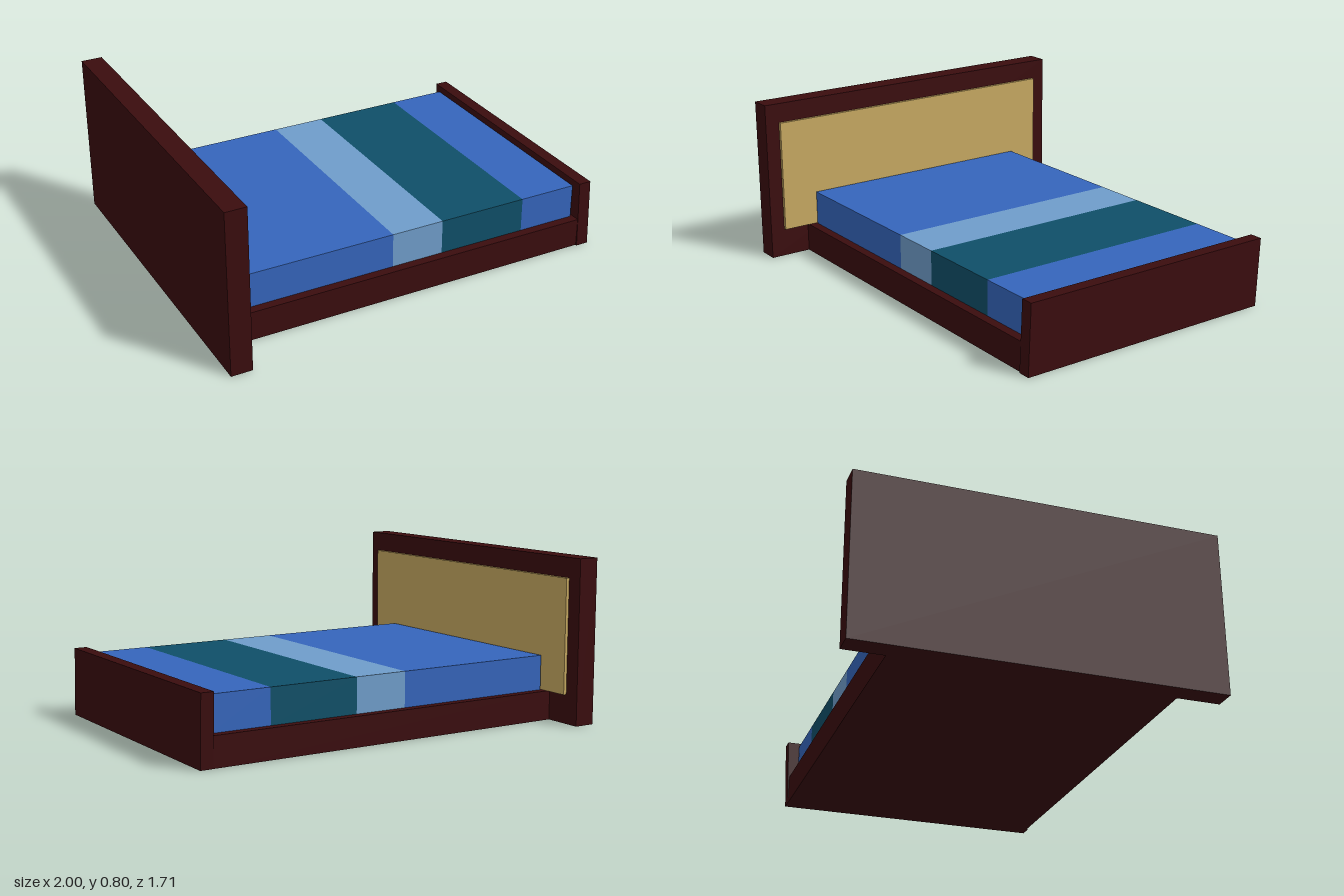
import * as THREE from 'three';

export function createModel() {
  const bed = new THREE.Group();
  bed.name = 'bed';

  const material = (name, color) => {
    const m = new THREE.MeshStandardMaterial({ color });
    m.name = name;
    return m;
  };
  const wood = material('darkWood', 0x3a0c0e);
  const tan = material('tanPanel', 0xc6a861);
  const blue = material('blue', 0x3565bb);
  const paleBlue = material('paleBlue', 0x6f9dca);
  const teal = material('teal', 0x0f4f68);

  // Box given by its lower and upper limits on each axis
  const box = (name, mat, [x0, x1], [y0, y1], [z0, z1], parent = bed) => {
    const mesh = new THREE.Mesh(new THREE.BoxGeometry(x1 - x0, y1 - y0, z1 - z0), mat);
    mesh.position.set((x0 + x1) / 2, (y0 + y1) / 2, (z0 + z1) / 2);
    mesh.name = name;
    parent.add(mesh);
    return mesh;
  };

  // Headboard with its raised panel
  box('headboard', wood, [-1, -0.897], [0, 0.797], [-0.857, 0.857]);
  box('headboardPanel', tan, [-0.897, -0.881], [0.142, 0.7], [-0.782, 0.785]);

  // Low solid frame
  box('frame', wood, [-0.897, 0.938], [0, 0.142], [-0.663, 0.65]);

  // Footboard, leaning slightly sideways towards -z at the top
  const footboard = box('footboard', wood, [0.938, 1], [0, 0.333], [-0.664, 0.658]);
  const p = footboard.geometry.attributes.position;
  for (let i = 0; i < p.count; i++) {
    if (p.getY(i) > 0) p.setZ(i, p.getZ(i) - 0.014);
  }
  footboard.geometry.computeVertexNormals();

  // Mattress in bands of bedding
  const mattress = new THREE.Group();
  mattress.name = 'mattress';
  bed.add(mattress);
  const edges = [-0.873, -0.07, 0.192, 0.635, 0.925];
  const bands = [['pillowEndBand', blue], ['foldedSheetBand', paleBlue], ['blanketBand', teal], ['footEndBand', blue]];
  bands.forEach(([name, mat], i) =>
    box(name, mat, [edges[i], edges[i + 1]], [0.142, 0.311], [-0.622, 0.606], mattress));

  return bed;
}
